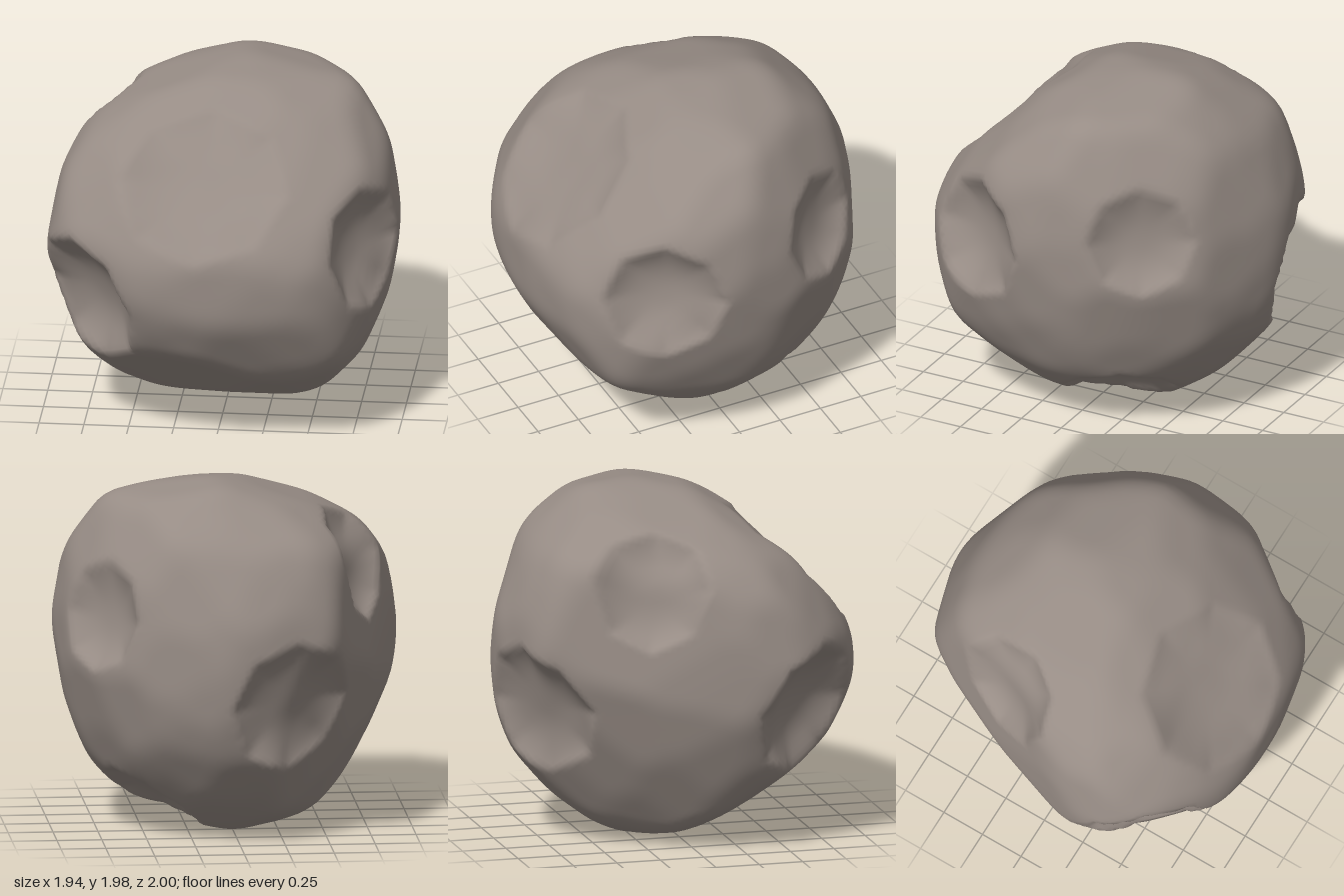
import * as THREE from 'three';
import { mergeVertices } from 'three/addons/utils/BufferGeometryUtils.js';

const V = (x, y, z) => new THREE.Vector3(x, y, z);
const RAD = Math.PI / 180;

// Rock outlines around the body centre, as flat u, v pairs
const frontOutline = [.1, 1, .74, .88, .88, .63, .97, .24, .95, 0, .88, -.35, .76, -.63, .55, -.83, .15, -.97,
  -.03, -1, -.53, -.89, -.9, -.3, -.97, -.02, -.91, .45, -.7, .71, -.48, .83];
const sideOutline = [.43, 1, -.17, .94, -.3, .86, -.6, .65, -.88, .37, -.99, .18, -.98, -.2, -.75, -.6, -.52, -.75,
  0, -.93, .31, -1, .65, -.75, .87, -.5, .97, -.22, .99, .25, .81, .67];
const topOutline = [-.1, 1, .08, .99, .35, .88, .62, .76, .81, .54, .91, .3, .97, -.18, .93, -.38, .82, -.65, .65, -.83,
  .5, -.92, .2, -.98, -.22, -.99, -.45, -.94, -.85, -.68, -.95, -.53, -.97, -.4, -.86, .02, -.6, .7, -.48, .89];
const upperFrontOutline = [-.2, .98, .32, 1.02, .7, .84, .87, .52, .96, -.04, .73, -.65, .53, -.84, .32, -.95,
  .09, -.96, -.15, -.87, -.84, -.53, -1.08, .13, -.89, .59, -.63, .78];
const upperBackOutline = [-.64, .95, -.1, .96, .77, .64, 1.08, .22, 1.07, -.06, 1.03, -.29, .85, -.56, .39, -.95,
  -.15, -1, -.54, -.84, -.83, -.51, -.96, -.03, -.87, .52];
const lowerBackOutline = [-.52, 1.01, -.05, 1.1, .2, 1.05, .77, .77, .93, .38, .91, .2, .7, -.47, .45, -.9, .25, -.93,
  -.04, -.88, -.7, -.7, -.96, -.53, -1.03, -.16, -.91, .54];

// Place an outline in the plane facing an azimuth and elevation
function outline(azimuth, elevation, uv) {
  const a = azimuth * RAD, e = elevation * RAD;
  const right = V(Math.cos(a), 0, -Math.sin(a));
  const up = V(-Math.sin(e) * Math.sin(a), Math.cos(e), -Math.sin(e) * Math.cos(a));
  return { right, up, facing: right.clone().cross(up), uv };
}

const outlines = [
  outline(0, 0, frontOutline),
  outline(90, 0, sideOutline),
  outline(0, 90, topOutline),
  outline(35, 25, upperFrontOutline),
  outline(215, 25, upperBackOutline),
  outline(145, -25, lowerBackOutline),
];

// How far an outline reaches along in-plane direction c, s
function reachOf(uv, c, s) {
  let reach = 0;
  for (let k = 0; k < uv.length; k += 2) reach = Math.max(reach, uv[k] * c + uv[k + 1] * s);
  return reach;
}

// Reach of the body along any direction, blended from the outlines most nearly containing it
function blendedReach(normal) {
  let sum = 0, total = 0;
  for (const o of outlines) {
    const u = normal.dot(o.right), v = normal.dot(o.up), length = Math.hypot(u, v);
    if (length < 0.3) continue;
    const weight = 1 / (normal.dot(o.facing) ** 2 + 0.003) ** 2;
    sum += weight * reachOf(o.uv, u / length, v / length);
    total += weight;
  }
  return sum / total;
}

// Planes that bound the body: along each outline, then evenly over the sphere
const planes = [];
for (const o of outlines) {
  for (let i = 0; i < 40; i++) {
    const c = Math.cos(i * Math.PI / 20), s = Math.sin(i * Math.PI / 20);
    const normal = o.right.clone().multiplyScalar(c).addScaledVector(o.up, s);
    planes.push({ normal, reach: reachOf(o.uv, c, s) });
  }
}
for (let i = 0; i < 500; i++) {
  const y = 1 - (2 * i + 1) / 500, r = Math.sqrt(1 - y * y), a = i * 2.39996;
  const normal = V(r * Math.cos(a), y, r * Math.sin(a));
  planes.push({ normal, reach: blendedReach(normal) });
}

// Distance from the centre to the nearest plane along a direction
function hullRadius(dir) {
  let r = 2;
  for (const p of planes) {
    const d = p.normal.dot(dir);
    if (d > 0.05) r = Math.min(r, p.reach / d);
  }
  return r;
}

// Two unit vectors square to a direction
function tangents(dir) {
  const side = Math.abs(dir.y) > 0.9 ? V(1, 0, 0) : V(0, 1, 0);
  const s = side.cross(dir).normalize();
  return [s, dir.clone().cross(s)];
}

// Rounded body: mean hull radius over a small ring of directions
function bodyRadius(dir) {
  const [s, t] = tangents(dir);
  let sum = 2 * hullRadius(dir);
  for (let i = 0; i < 8; i++) {
    const a = i * Math.PI / 4;
    const d = dir.clone().addScaledVector(s, 0.07 * Math.cos(a)).addScaledVector(t, 0.07 * Math.sin(a));
    sum += hullRadius(d.normalize());
  }
  return 1.007 * sum / 10;
}

// Craters: direction of centre, rim radius, depth
const craters = [
  { at: V(.83, .12, .5), radius: .34, depth: .14 },
  { at: V(.75, .28, -.5), radius: .3, depth: .1 },
  { at: V(-.07, .52, .68), radius: .46, depth: .08 },
  { at: V(-.66, -.16, .56), radius: .38, depth: .16 },
  { at: V(-.67, .54, -.27), radius: .32, depth: .13 },
  { at: V(-.3, -.19, -.86), radius: .37, depth: .14 },
  { at: V(.41, -.74, -.2), radius: .32, depth: .12 },
].map((c) => {
  const dir = c.at.clone().normalize();
  const [s, t] = tangents(dir);
  return { ...c, dir, s, t, centre: dir.clone().multiplyScalar(bodyRadius(dir)) };
});

// Press a bowl with an eight-sided rim and a round floor
function pressCraters(point) {
  const step = Math.PI / 4;
  for (const c of craters) {
    const offset = point.clone().sub(c.centre);
    if (offset.length() > c.radius * 1.5) continue;
    const x = offset.dot(c.s), y = offset.dot(c.t);
    const angle = Math.atan2(y, x) + 2 * Math.PI;
    const k = Math.hypot(x, y) / c.radius;
    const edge = THREE.MathUtils.lerp(1, Math.cos((angle % step) - step / 2) / 0.96, Math.min(1, k * k));
    const dish = 1 - Math.min(1, k * edge) ** 2.4;
    point.addScaledVector(c.dir, -c.depth * dish);
  }
}

export function createModel() {
  const stone = new THREE.MeshStandardMaterial({ color: 0x978c85 });
  stone.name = 'greyBrownStone';

  // Rock body, standing on the ground
  let geometry = new THREE.IcosahedronGeometry(1, 34);
  geometry.deleteAttribute('normal');
  geometry.deleteAttribute('uv');
  geometry = mergeVertices(geometry, 1e-4);
  const pos = geometry.attributes.position;
  for (let i = 0; i < pos.count; i++) {
    const dir = V().fromBufferAttribute(pos, i).normalize();
    const point = dir.clone().multiplyScalar(bodyRadius(dir));
    pressCraters(point);
    pos.setXYZ(i, point.x, point.y, point.z);
  }
  geometry.computeBoundingBox();
  geometry.translate(0, -geometry.boundingBox.min.y, 0);
  geometry.computeVertexNormals();

  const rock = new THREE.Mesh(geometry, stone);
  rock.name = 'crateredRock';
  const group = new THREE.Group();
  group.name = 'asteroid';
  group.add(rock);
  return group;
}
